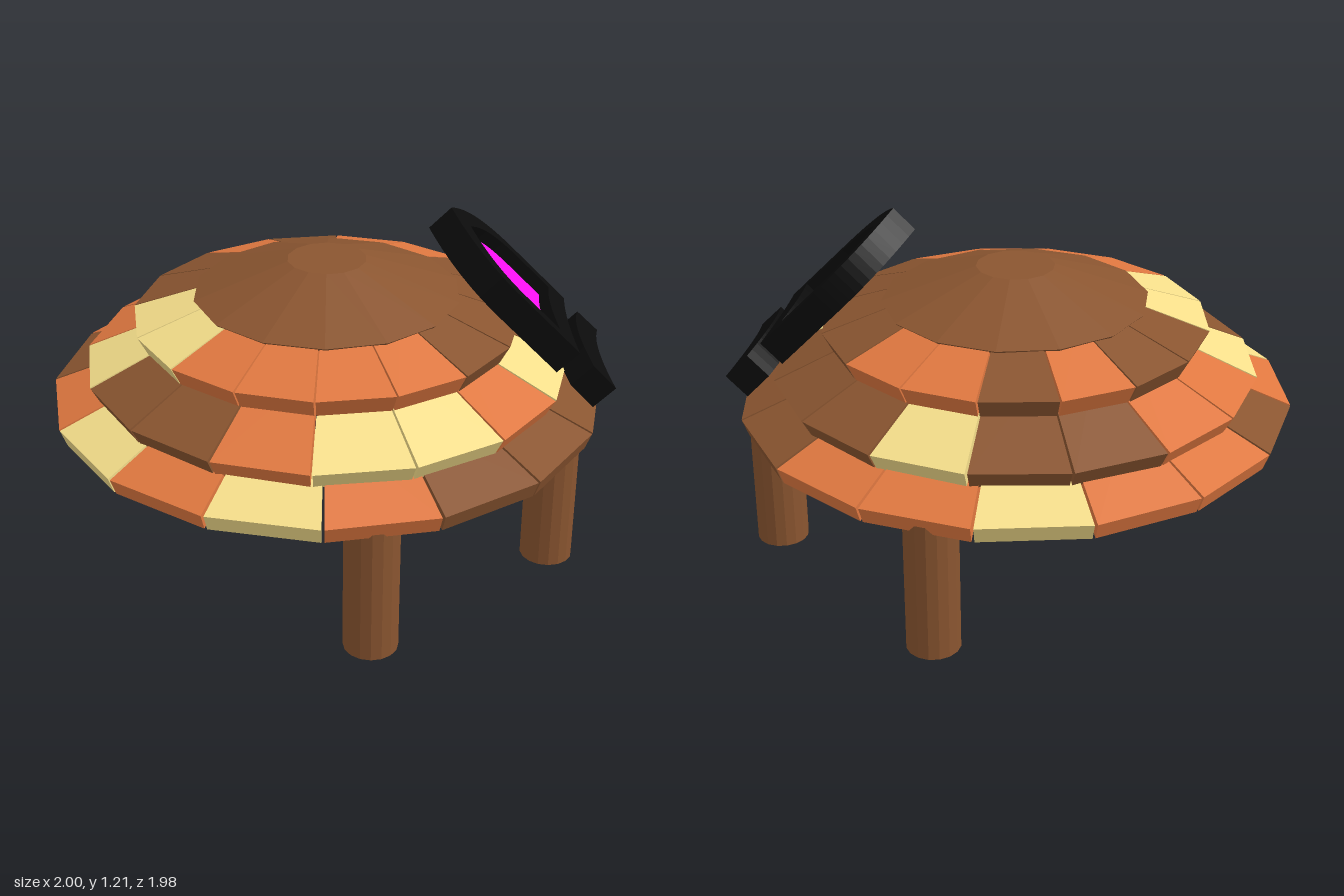
import * as THREE from 'three';
import { ConvexGeometry } from 'three/addons/geometries/ConvexGeometry.js';

const mat = (color, extra = {}) => new THREE.MeshStandardMaterial({ color, ...extra });

export function createModel() {
  const model = new THREE.Group();
  const flat = { flatShading: true };
  const brown = mat(0x8a5530, flat), orange = mat(0xe07840, flat), cream = mat(0xf5de8a, flat);
  const black = mat(0x0b0b0b), magenta = mat(0xff10f0);
  const tileMats = { b: brown, o: orange, y: cream };

  const add = (parent, name, geometry, material) => {
    const mesh = new THREE.Mesh(geometry, material);
    mesh.name = name;
    parent.add(mesh);
    return mesh;
  };

  // Roof: three overlapping rings of sixteen tilted tiles
  const roof = new THREE.Group();
  roof.name = 'roof';
  roof.position.x = -0.01;
  model.add(roof);

  // profile: [radius, height] of outer top, outer bottom, inner bottom, inner top
  const tile = (profile, a0, a1) => {
    const pts = [];
    for (const a of [a0, a1])
      for (const [r, y] of profile) pts.push(new THREE.Vector3(r * Math.cos(a), y, r * Math.sin(a)));
    return new ConvexGeometry(pts);
  };
  const rings = [
    { name: 'lowerTile', offset: 0, colors: 'bbboyoyoboooyoob'.replace('boooyoob', 'booyoobb'),
      profile: [[0.99, 0.535], [0.968, 0.475], [0.62, 0.62], [0.62, 0.68]] },
    { name: 'middleTile', offset: 2.5, colors: 'yoyyobbyoobbybbb',
      profile: [[0.865, 0.655], [0.83, 0.59], [0.47, 0.75], [0.47, 0.825]] },
    { name: 'upperTile', offset: 2.5, colors: 'bbooooyybboboobb',
      profile: [[0.69, 0.82], [0.655, 0.752], [0.37, 0.85], [0.37, 0.925]] },
  ];
  const step = Math.PI / 8, gap = 0.005;
  for (const { name, offset, colors, profile } of rings) {
    const start = THREE.MathUtils.degToRad(offset);
    for (let k = 0; k < 16; k++) {
      const a = start + k * step;
      add(roof, name, tile(profile, a + gap, a + step - gap), tileMats[colors[k]]);
    }
  }

  // Cap: shallow faceted shell with a flat top
  const capProfile = [[0, 0.985], [0.13, 0.985], [0.46, 0.885], [0.475, 0.9], [0.14, 1.02], [0, 1.02]]
    .map(([r, y]) => new THREE.Vector2(r, y));
  add(roof, 'roofCap', new THREE.LatheGeometry(capProfile, 14), brown);

  // Legs: round posts with a small bore through the middle
  const legProfile = [[0.015, 0], [0.0925, 0], [0.0925, 0.51], [0.015, 0.51], [0.015, 0]]
    .map(([r, y]) => new THREE.Vector2(r, y));
  const legGeometry = new THREE.LatheGeometry(legProfile, 16);
  for (const [x, z] of [[0.145, 0.85], [0.785, 0.3], [0.825, -0.245], [0.145, -0.855]])
    add(model, 'leg', legGeometry, brown).position.set(x, 0, z);

  // Skylight: leaning frame; local y runs up the slope, local z points outward
  const skylight = new THREE.Group();
  skylight.name = 'skylight';
  skylight.position.set(0.42, 1.21, -0.003);
  const s = Math.SQRT1_2;
  skylight.quaternion.setFromRotationMatrix(new THREE.Matrix4().makeBasis(
    new THREE.Vector3(0, 0, -1), new THREE.Vector3(-s, s, 0), new THREE.Vector3(s, s, 0)));
  model.add(skylight);

  // Pointed arch with a slightly raised bottom edge
  const arch = (path, w, top, shoulder, bottom, rise) => {
    const ctrl = top + (shoulder - top) * 0.36;
    path.moveTo(-w, -bottom);
    path.quadraticCurveTo(0, -bottom + rise * 2, w, -bottom);
    path.lineTo(w, -shoulder);
    path.quadraticCurveTo(w, -ctrl, 0, -top);
    path.quadraticCurveTo(-w, -ctrl, -w, -shoulder);
    path.lineTo(-w, -bottom);
    return path;
  };
  const slab = (shape, back, depth) => new THREE.ExtrudeGeometry(shape,
    { depth, bevelEnabled: false, curveSegments: 12 }).translate(0, 0, back);

  const frame = arch(new THREE.Shape(), 0.226, 0, 0.34, 0.63, 0.02);
  frame.holes.push(arch(new THREE.Path(), 0.175, 0.1, 0.36, 0.535, 0.02));
  add(skylight, 'skylightFrame', slab(frame, -0.106, 0.106), black);
  add(skylight, 'skylightPane', slab(arch(new THREE.Shape(), 0.18, 0.095, 0.36, 0.54, 0.02), -0.065, 0.02), magenta);

  // Sill: separate bowed band below the frame
  const sill = new THREE.Shape();
  sill.moveTo(-0.232, -0.82);
  sill.quadraticCurveTo(0, -0.74, 0.232, -0.82);
  sill.lineTo(0.222, -0.705);
  sill.quadraticCurveTo(0, -0.625, -0.222, -0.705);
  sill.lineTo(-0.232, -0.82);
  add(skylight, 'skylightSill', slab(sill, -0.106, 0.106), black);

  return model;
}
